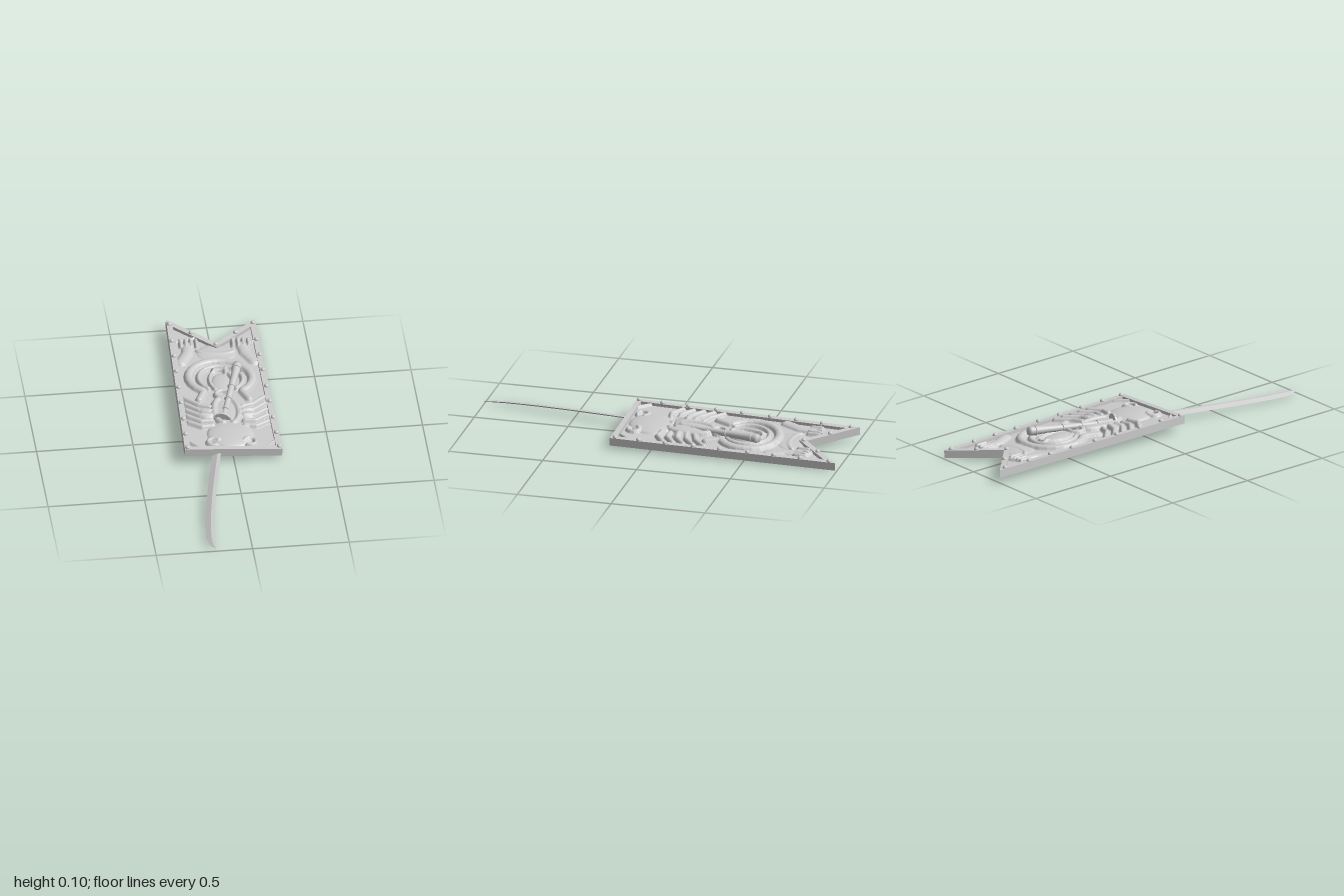
import * as THREE from 'three';

const mat = new THREE.MeshStandardMaterial({ color: 0xcccccc });
const flat = new THREE.MeshStandardMaterial({ color: 0xcccccc, flatShading: true });
const { lerp, clamp } = THREE.MathUtils;
const V = (x, y, z) => new THREE.Vector3(x, y, z);

function add(parent, name, geo, material = mat, x = 0, y = 0, z = 0) {
  const m = new THREE.Mesh(geo, material);
  m.name = name;
  m.position.set(x, y, z);
  parent.add(m);
  return m;
}

// Swallow-tailed outlines, as [x, z]
const OUTER = [[-0.255, 0.2], [0.25, 0.21], [0.25, -0.99], [0.02, -0.78], [-0.21, -1]];
const INNER = [[-0.225, 0.172], [0.22, 0.18], [0.22, -0.922], [0.02, -0.738], [-0.182, -0.932]];
const toShape = (pts) => new THREE.Shape(pts.map(([x, z]) => new THREE.Vector2(x, -z)));

function slab(shape, bottom, top) {
  const g = new THREE.ExtrudeGeometry(shape, { depth: top - bottom, bevelEnabled: false });
  return g.rotateX(-Math.PI / 2).translate(0, bottom, 0);
}

// Carved lines, mirrored about the middle of the panel
function carvedLines() {
  const lines = [];
  const line = (r, h, ...points) => lines.push({ r, h, points });
  const arc = (r, h, cx, cz, rx, rz, from, to) => {
    const at = (i) => THREE.MathUtils.degToRad(lerp(from, to, i / 10));
    line(r, h, ...Array.from({ length: 11 }, (_, i) => [cx + rx * Math.cos(at(i)), cz + rz * Math.sin(at(i))]));
  };
  // horseshoe mouth: outer lip, inner lip and gum, then the flared lip ends
  arc(0.024, 0.022, 0, -0.47, 0.165, 0.155, -90, 50);
  arc(0.014, 0.018, 0, -0.46, 0.115, 0.115, -90, 50);
  arc(0.01, 0.016, 0, -0.44, 0.06, 0.1, -90, 50);
  line(0.02, 0.02, [0.1, -0.34], [0.13, -0.27]);
  // nostrils, cheeks and chin folds
  arc(0.014, 0.02, 0, -0.31, 0.04, 0.035, -90, 90);
  arc(0.018, 0.02, 0.02, -0.16, 0.045, 0.11, -70, 80);
  // brow curls and belly fold
  arc(0.012, 0.018, 0.095, 0.125, 0.03, 0.03, -150, 120);
  arc(0.012, 0.01, 0, -0.74, 0.1, 0.05, 90, 20);
  // arms, claws and swept tufts
  line(0.03, 0.016, [0.14, -0.77], [0.15, -0.7], [0.19, -0.62]);
  for (let i = 0; i < 4; i++) {
    const x = 0.095 + i * 0.027;
    line(0.011, 0.02, [x, -0.76], [x, -0.815]);
  }
  for (let i = 0; i < 5; i++) {
    const z = -0.2 + i * 0.043;
    line(0.015, 0.02, [0.085, z], [0.14, z - 0.02 + i * 0.008], [0.205, z - 0.08 + i * 0.012]);
  }
  // corner gussets
  line(0.008, 0.014, [0.2, -0.8], [0.09, -0.84]);
  line(0.008, 0.014, [0.22, 0.12], [0.17, 0.18]);
  return lines;
}
const LINES = carvedLines();
// Rounded masses: [x, z, radius x, radius z, height]
const DOMES = [
  [0, 0.05, 0.12, 0.12, 0.022], [0, -0.17, 0.07, 0.14, 0.016], [0.1, -0.13, 0.045, 0.05, 0.018],
  [0, -0.7, 0.1, 0.08, 0.01], [0, -0.42, 0.05, 0.09, 0.012], [0.03, -0.53, 0.014, 0.03, 0.018],
];

function segmentDistance(x, z, [ax, az], [bx, bz]) {
  const dx = bx - ax, dz = bz - az;
  const t = clamp(((x - ax) * dx + (z - az) * dz) / (dx * dx + dz * dz), 0, 1);
  return Math.hypot(x - ax - dx * t, z - az - dz * t);
}

function reliefHeight(signedX, z) {
  const x = Math.abs(signedX);
  let mass = 0, ridge = 0;
  for (const [cx, cz, rx, rz, h] of DOMES) {
    const q = 1 - ((x - cx) / rx) ** 2 - ((z - cz) / rz) ** 2;
    if (q > 0) mass = Math.max(mass, h * Math.sqrt(q));
  }
  for (const { r, h, points } of LINES) {
    let d = r;
    for (let i = 1; i < points.length; i++) d = Math.min(d, segmentDistance(x, z, points[i - 1], points[i]));
    ridge = Math.max(ridge, h * Math.sqrt(1 - (d / r) ** 2));
  }
  return Math.max(mass, ridge) + 0.3 * Math.min(mass, ridge);
}

// Carved panel: a grid fitted to the recess and raised by the relief
function reliefPanel() {
  const g = new THREE.PlaneGeometry(1, 1, 120, 260).rotateX(-Math.PI / 2);
  const p = g.attributes.position;
  for (let i = 0; i < p.count; i++) {
    const u = p.getX(i) + 0.5, v = p.getZ(i) + 0.5;
    const back = -0.738 - 0.92 * Math.abs(-0.22 + 0.42 * u);
    const z = lerp(back, 0.178, v);
    const left = lerp(-0.182, -0.225, (z + 0.932) / 1.104);
    const x = lerp(left, 0.22, u);
    p.setXYZ(i, x, -0.016 + reliefHeight(x - (left + 0.22) / 2, z), z);
  }
  g.computeVertexNormals();
  return g;
}

function makeShield() {
  const shield = new THREE.Group();
  shield.name = 'shield';
  const rim = toShape(OUTER);
  rim.holes.push(toShape(INNER));
  add(shield, 'rim', slab(rim, -0.042, 0));
  add(shield, 'backBoard', slab(toShape(INNER), -0.039, -0.018));
  add(shield, 'carvedPanel', reliefPanel());

  // Rivets along the sides, tips and notch
  const spots = [[0.02, -0.762], [-0.095, -0.872], [0.135, -0.868]];
  for (const z of [-0.955, -0.8, -0.66, -0.52, -0.37, -0.23, -0.08, 0.06, 0.185]) {
    spots.push([0.236, z], [lerp(-0.197, -0.24, (z + 1) / 1.2), z]);
  }
  const rivet = new THREE.SphereGeometry(0.013, 12, 8);
  for (const [x, z] of spots) add(shield, 'rivet', rivet, mat, x, 0.001, z);

  // Back straps and grip boss
  for (const z of [-0.22, -0.09]) {
    add(shield, 'backStrap', new THREE.BoxGeometry(0.41, 0.008, 0.02), mat, 0.01, -0.04, z);
  }
  const boss = add(shield, 'backBoss', new THREE.SphereGeometry(0.032, 24, 12), mat, 0.02, -0.04, -0.16);
  boss.scale.y = 0.5;

  shield.position.y = 0.072;
  shield.rotation.set(-0.0145, 0, -0.06);
  return shield;
}

// Curved blade from diamond cross-sections: [z, left x, right x, y]
function bladeGeometry() {
  const path = [
    [-0.08, -0.045, -0.003, 0.057], [0.2, -0.113, -0.068, 0.048], [0.4, -0.155, -0.107, 0.04],
    [0.55, -0.183, -0.136, 0.034], [0.7, -0.207, -0.161, 0.028], [0.82, -0.222, -0.177, 0.023],
    [0.9, -0.228, -0.184, 0.02], [0.96, -0.217, -0.188, 0.017], [1, -0.191, -0.19, 0.015],
  ];
  const pos = [], idx = [];
  path.forEach(([z, l, r, y], i) => {
    const rise = (r - l) * 0.14, mid = lerp(l, r, 0.6);
    pos.push(l, y - rise, z, mid, y + rise, z, r, y + rise, z, mid, y - rise, z);
    if (i === path.length - 1) return;
    for (let j = 0; j < 4; j++) {
      const a = i * 4 + j, b = i * 4 + (j + 1) % 4;
      idx.push(a, a + 4, b, b, a + 4, b + 4);
    }
  });
  const g = new THREE.BufferGeometry();
  g.setAttribute('position', new THREE.Float32BufferAttribute(pos, 3));
  g.setIndex(idx);
  g.computeVertexNormals();
  return g;
}

function makeSword() {
  const sword = new THREE.Group();
  sword.name = 'sword';
  add(sword, 'blade', bladeGeometry(), flat);

  // Hilt runs along its own y axis from guard to pommel
  const hilt = new THREE.Group();
  hilt.name = 'hilt';
  const start = V(-0.025, 0.056, -0.085), end = V(0.107, 0.08, -0.545);
  const length = start.distanceTo(end);
  hilt.position.copy(start);
  hilt.quaternion.setFromUnitVectors(V(0, 1, 0), end.clone().sub(start).normalize());
  add(hilt, 'guard', new THREE.CylinderGeometry(0.046, 0.046, 0.012, 32));
  const profile = [[0, 0], [0.019, 0], [0.019, 0.03], [0.015, 0.035], [0.016, length * 0.5],
    [0.019, length * 0.8], [0.022, length - 0.05], [0.024, length - 0.015], [0.021, length], [0, length]];
  add(hilt, 'grip', new THREE.LatheGeometry(profile.map(([r, y]) => new THREE.Vector2(r, y)), 24));
  for (const [y, r] of [[0.09, 0.017], [0.18, 0.018], [0.285, 0.018], [length - 0.04, 0.023]]) {
    add(hilt, 'gripRing', new THREE.TorusGeometry(r, 0.004, 8, 24).rotateX(Math.PI / 2), mat, 0, y, 0);
  }
  sword.add(hilt);
  return sword;
}

export function createModel() {
  const model = new THREE.Group();
  model.name = 'shieldWithSword';
  model.add(makeShield(), makeSword());
  return model;
}
